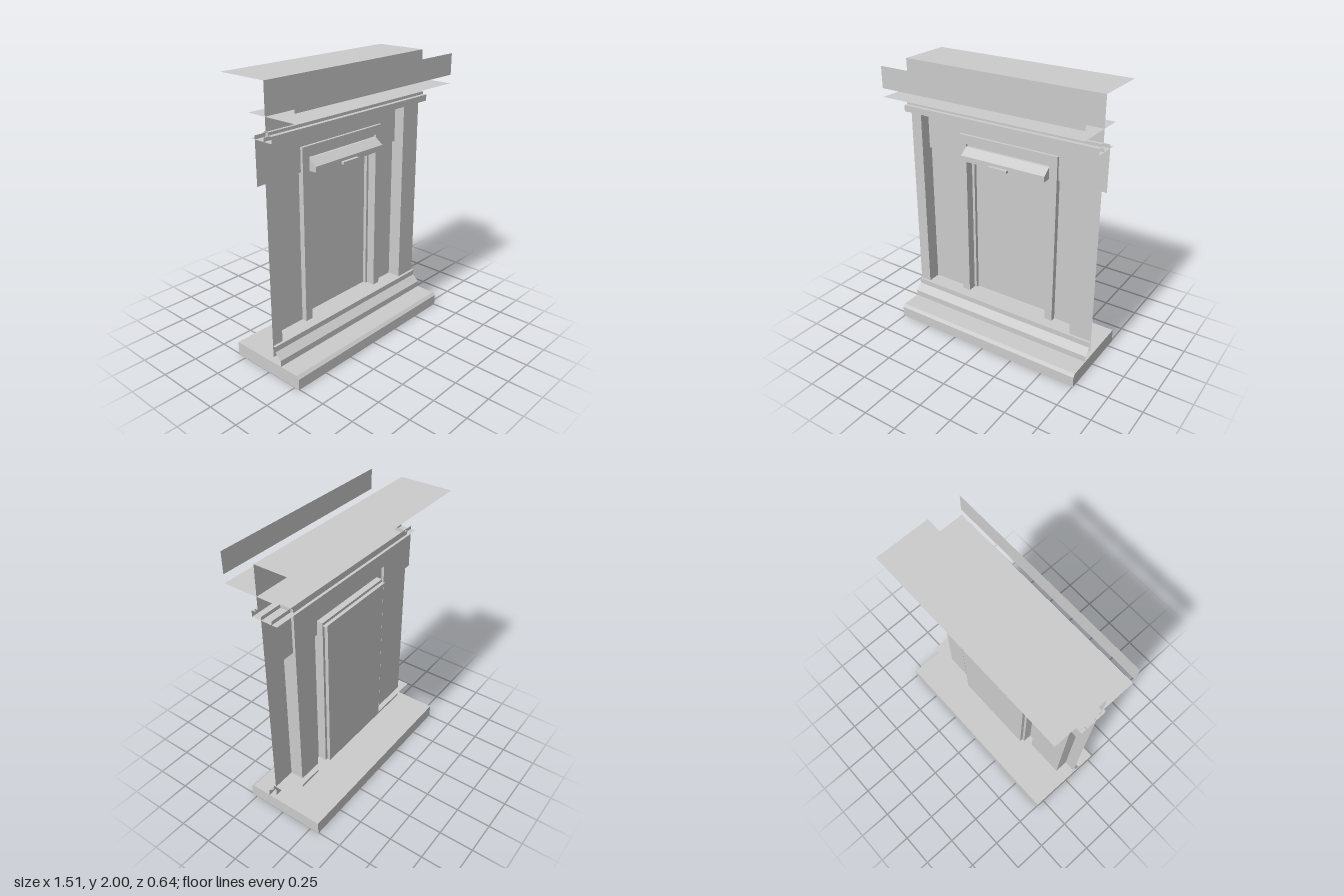
import * as THREE from 'three';

const mat = new THREE.MeshStandardMaterial({ color: 0xcccccc, side: THREE.DoubleSide, flatShading: true });
const W = 0.755; // half width of the surround

export function createModel() {
  const root = new THREE.Group();
  const add = (name, geometry) => {
    const mesh = new THREE.Mesh(geometry, mat);
    mesh.name = name;
    root.add(mesh);
    return mesh;
  };

  // Open strip: a polyline swept in a straight line along one axis
  const sweep = (name, path, shift) => {
    const pos = [];
    for (let i = 0; i < path.length - 1; i++) {
      const a = new THREE.Vector3(...path[i]), b = new THREE.Vector3(...path[i + 1]);
      const c = b.clone().add(shift), d = a.clone().add(shift);
      for (const p of [a, b, c, a, c, d]) pos.push(p.x, p.y, p.z);
    }
    const g = new THREE.BufferGeometry();
    g.setAttribute('position', new THREE.Float32BufferAttribute(pos, 3));
    g.computeVertexNormals();
    return add(name, g);
  };
  // [z, y] profile swept across the width
  const moulding = (name, zy, x0 = -W, x1 = W) =>
    sweep(name, zy.map(([z, y]) => [x0, y, z]), new THREE.Vector3(x1 - x0, 0, 0));
  // [x, z] plan swept upwards
  const upright = (name, xz, y0, y1) =>
    sweep(name, xz.map(([x, z]) => [x, y0, z]), new THREE.Vector3(0, y1 - y0, 0));
  // Closed [z, y] profile as a solid
  const solid = (name, zy, x0, x1) => {
    const shape = new THREE.Shape(zy.map(([z, y]) => new THREE.Vector2(-z, y)));
    const g = new THREE.ExtrudeGeometry(shape, { depth: x1 - x0, bevelEnabled: false });
    g.rotateY(Math.PI / 2).translate(x0, 0, 0);
    return add(name, g);
  };
  // Flat sheet facing the front, with a doorway cut up from its lower edge
  const archSheet = (name, x0, x1, y0, y1, hx0, hx1, hy, z) => {
    const pts = [[x0, y0], [hx0, y0], [hx0, hy], [hx1, hy], [hx1, y0], [x1, y0], [x1, y1], [x0, y1]];
    const g = new THREE.ShapeGeometry(new THREE.Shape(pts.map((p) => new THREE.Vector2(...p))));
    return add(name, g.translate(0, 0, z));
  };

  // Base slab with chamfered front edge
  solid('baseSlab', [[0.29, 0], [0.29, 0.08], [0.27, 0.1], [-0.32, 0.1], [-0.32, 0]], -W, W);

  // Sloped plinth and sill
  moulding('plinth', [[0.12, 0.1], [0.12, 0.145], [0.07, 0.19], [0.07, 0.23], [-0.09, 0.23]]);

  // Side pilasters: front faces and inner returns
  upright('rightPilaster', [[-W, 0.05], [-0.67, 0.05], [-0.67, -0.05]], 0.145, 1.66);
  upright('leftPilaster', [[W, 0.05], [0.585, 0.05], [0.585, -0.05]], 0.145, 1.66);

  // Back wall and frieze panel
  archSheet('backWall', -0.67, 0.585, 0.145, 1.66, -0.385, 0.405, 1.505, -0.05);
  moulding('friezePanel', [[-0.03, 1.335], [-0.03, 1.66]]);

  // Door frame: face, outer returns and stepped reveals
  archSheet('frameFace', -0.385, 0.405, 0.23, 1.505, -0.325, 0.345, 1.44, -0.01);
  for (const [name, outer, inner, dir] of [['right', -0.385, -0.325, 1], ['left', 0.405, 0.345, -1]]) {
    upright(name + 'FrameReturn', [[outer, -0.01], [outer, -0.05]], 0.23, 1.505);
    upright(name + 'Jamb', [[inner, -0.01], [inner, -0.075]], 0.21, 1.44);
    upright(name + 'JambStep', [[inner, -0.075], [inner + dir * 0.02, -0.075], [inner + dir * 0.02, -0.1]], 0.23, 1.42);
  }
  moulding('frameTop', [[-0.01, 1.505], [-0.05, 1.505]], -0.385, 0.405);
  moulding('frameHead', [[-0.01, 1.44], [-0.075, 1.44], [-0.075, 1.42], [-0.1, 1.42]], -0.325, 0.345);

  // Door leaf
  moulding('doorPanel', [[-0.1, 0.23], [-0.1, 1.42]], -0.305, 0.325);

  // Sloped hood with small pull
  solid('hood', [[0.05, 1.335], [0.05, 1.375], [-0.01, 1.42], [-0.075, 1.42], [-0.075, 1.335]], -0.325, 0.345);
  const pull = add('hoodPull', new THREE.BoxGeometry(0.15, 0.018, 0.025));
  pull.position.set(-0.01, 1.345, 0.0625);

  // Lower cornice, upper wall and top
  moulding('lowerCornice', [[-0.07, 1.635], [0.12, 1.635], [0.12, 1.68], [0.09, 1.68], [0.09, 1.7], [0.07, 1.7]]);
  moulding('upperWallAndTop', [[0.07, 1.7], [0.07, 2], [-0.32, 2]]);

  // Projecting shelf and fascia
  moulding('corniceShelf', [[0.32, 1.79], [-0.08, 1.79]]);
  moulding('fascia', [[0.32, 1.85], [0.32, 2]]);

  return root;
}
